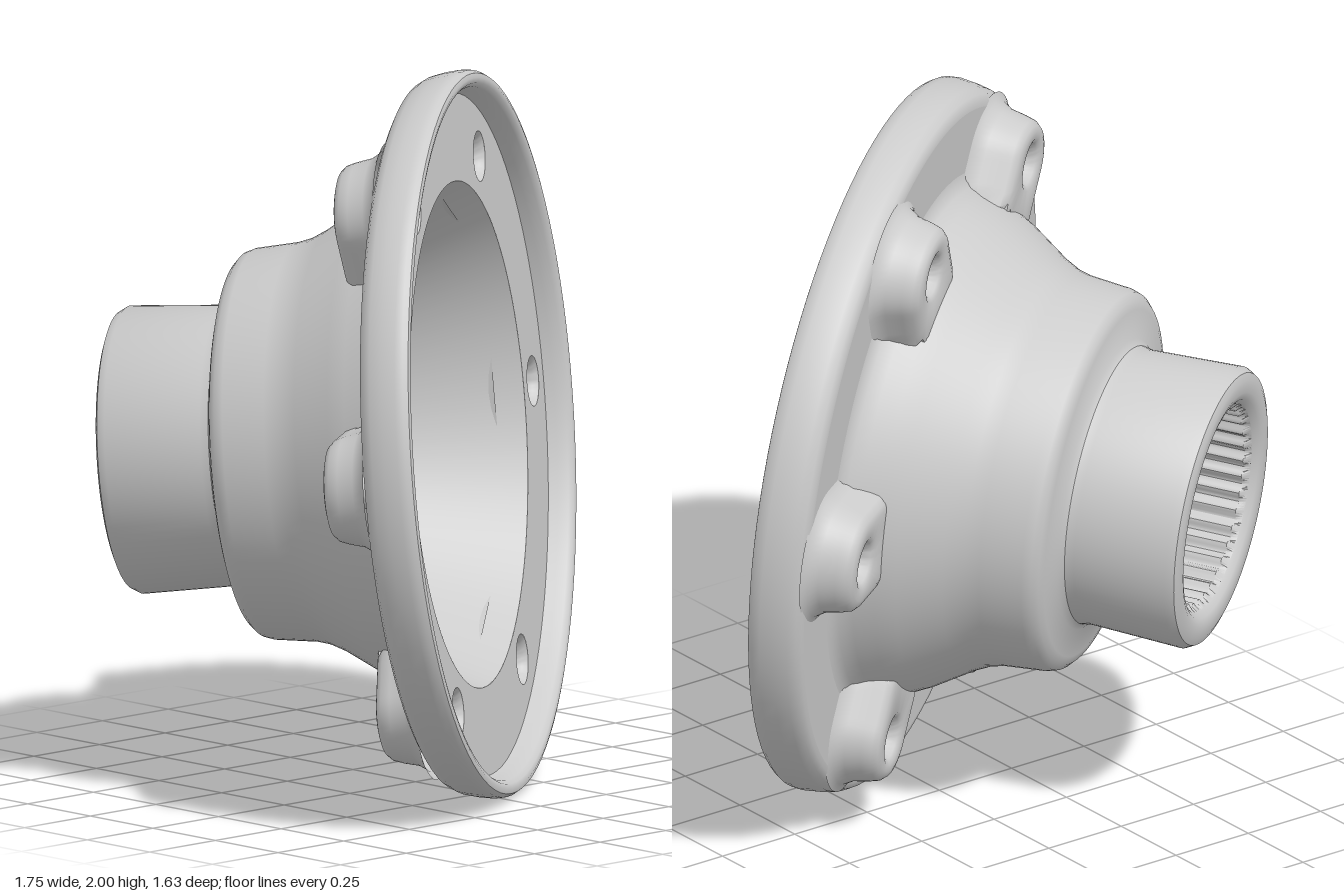
import * as THREE from 'three';
import { toCreasedNormals } from 'three/addons/utils/BufferGeometryUtils.js';

const HOLES = 6, HOLE_R = 0.815;
const material = new THREE.MeshStandardMaterial({ color: 0xcccccc, side: THREE.DoubleSide });

function part(name, geometry, crease = 0.65) {
  const mesh = new THREE.Mesh(crease ? toCreasedNormals(geometry, crease) : geometry, material);
  mesh.name = name;
  return mesh;
}

// Profiles are [radius, depth behind the front plane]; local +y is the front.
function turned(name, profile) {
  const points = profile.map(([r, t]) => new THREE.Vector2(r, -t));
  return part(name, new THREE.LatheGeometry(points, 96));
}

// Flat ring made of equal sectors, each with one bolt hole in its middle.
function flangeFace(name, inner, outer, depth, facing) {
  const half = Math.PI / HOLES, sectors = [];
  for (let i = 0; i < HOLES; i++) {
    const a = i * 2 * half;
    const sector = new THREE.Shape()
      .absarc(0, 0, outer, a - half, a + half, false)
      .absarc(0, 0, inner, a + half, a - half, true);
    sector.holes.push(new THREE.Path()
      .absarc(HOLE_R * Math.cos(a), HOLE_R * Math.sin(a), 0.07, 0, Math.PI * 2, true));
    sectors.push(sector);
  }
  const geometry = new THREE.ShapeGeometry(sectors, 32);
  geometry.rotateX(-facing * Math.PI / 2).translate(0, -depth, 0);
  return part(name, geometry, 0);
}

// Boss and bore as one skin: U-shaped loops outside, round loops in the bore.
function bossGeometry() {
  const N = 48, inward = 0.155;
  const loops = [ // [half width, depth, is U-shaped]
    [0.205, 0.145, 1], [0.178, 0.158, 1], [0.16, 0.185, 1], [0.15, 0.23, 1], [0.141, 0.257, 1],
    [0.126, 0.272, 1], [0.108, 0.277, 1], [0.075, 0.277, 0], [0.06, 0.268, 0], [0.053, 0.25, 0],
    [0.053, 0.105, 0], [0.058, 0.085, 0], [0.07, 0.07, 0],
  ];
  const positions = [], index = [];
  loops.forEach(([R, t, u], j) => {
    for (let i = 0; i < N; i++) {
      const a = i * Math.PI * 2 / N, c = Math.cos(a), s = Math.sin(a);
      const m = u && c < 0 ? Math.max(Math.abs(s), -c * R / inward) : 1;
      const reach = u && c > 0 ? R * 0.87 : R;
      positions.push(HOLE_R + reach * c / m, -t, R * s / m);
      if (j === 0) continue;
      const k = (i + 1) % N, p = (j - 1) * N, q = j * N;
      index.push(p + i, p + k, q + i, p + k, q + k, q + i);
    }
  });
  const geometry = new THREE.BufferGeometry();
  geometry.setAttribute('position', new THREE.Float32BufferAttribute(positions, 3));
  geometry.setIndex(index);
  return geometry;
}

// Bore with a wave of teeth, fading out at the chamfered ends.
function splineGeometry() {
  const teeth = 36;
  const profile = [[0.295, 0.59], [0.282, 0.61], [0.282, 1.0], [0.295, 1.018]];
  const geometry = new THREE.LatheGeometry(profile.map(([r, t]) => new THREE.Vector2(r, -t)), teeth * 8);
  const p = geometry.attributes.position;
  for (let i = 0; i < p.count; i++) {
    const x = p.getX(i), z = p.getZ(i);
    if (Math.hypot(x, z) > 0.29) continue;
    const k = 1 + 0.028 * Math.cos(teeth * Math.atan2(z, x));
    p.setX(i, x * k);
    p.setZ(i, z * k);
  }
  return geometry;
}

export function createModel() {
  const hub = new THREE.Group();
  hub.name = 'flangedHub';

  // Rear sleeve, shoulder and flaring neck
  hub.add(turned('outerBody', [
    [0.295, 1.018], [0.31, 1.033], [0.33, 1.04], [0.365, 1.04], [0.385, 1.032], [0.398, 1.008],
    [0.388, 0.74], [0.393, 0.715], [0.41, 0.7], [0.49, 0.69], [0.515, 0.682], [0.533, 0.665],
    [0.541, 0.64], [0.552, 0.52], [0.563, 0.475], [0.587, 0.425], [0.657, 0.315], [0.685, 0.26],
    [0.705, 0.205], [0.725, 0.17], [0.745, 0.155], [0.765, 0.15],
  ]));

  // Flange rim with its raised front lip
  hub.add(turned('flangeRim', [
    [0.945, 0.15], [0.962, 0.148], [0.98, 0.138], [0.993, 0.115], [1.001, 0.08], [1.006, 0.04],
    [1.004, 0.018], [0.995, 0.004], [0.982, 0], [0.968, 0.004], [0.958, 0.017], [0.95, 0.045],
    [0.943, 0.07],
  ]));
  hub.add(flangeFace('flangeFront', 0.7, 0.945, 0.07, 1));
  hub.add(flangeFace('flangeBack', 0.762, 0.947, 0.15, -1));

  // Conical cavity, groove and raised inner collar
  hub.add(turned('innerCone', [
    [0.7, 0.07], [0.485, 0.56], [0.474, 0.588], [0.46, 0.602], [0.445, 0.602], [0.432, 0.592],
    [0.425, 0.575], [0.416, 0.562], [0.4, 0.557], [0.335, 0.56], [0.312, 0.57], [0.295, 0.59],
  ]));
  hub.add(part('splineBore', splineGeometry(), 0.5));

  // Bolt bosses
  const boss = bossGeometry();
  for (let i = 0; i < HOLES; i++) {
    const mesh = part('boltBoss', boss, 0.75);
    mesh.rotation.y = i * Math.PI * 2 / HOLES;
    hub.add(mesh);
  }

  // Lean the axis to the front left, slightly upward
  const axis = new THREE.Vector3(0.555, 0.086, 0.828).normalize();
  const side = new THREE.Vector3(axis.z, 0, -axis.x).normalize();
  const third = new THREE.Vector3().crossVectors(side, axis);
  hub.quaternion.setFromRotationMatrix(new THREE.Matrix4().makeBasis(side, axis, third));
  hub.position.set(0.052, 1.004, 0.257);

  const model = new THREE.Group();
  model.name = 'model';
  model.add(hub);
  return model;
}
